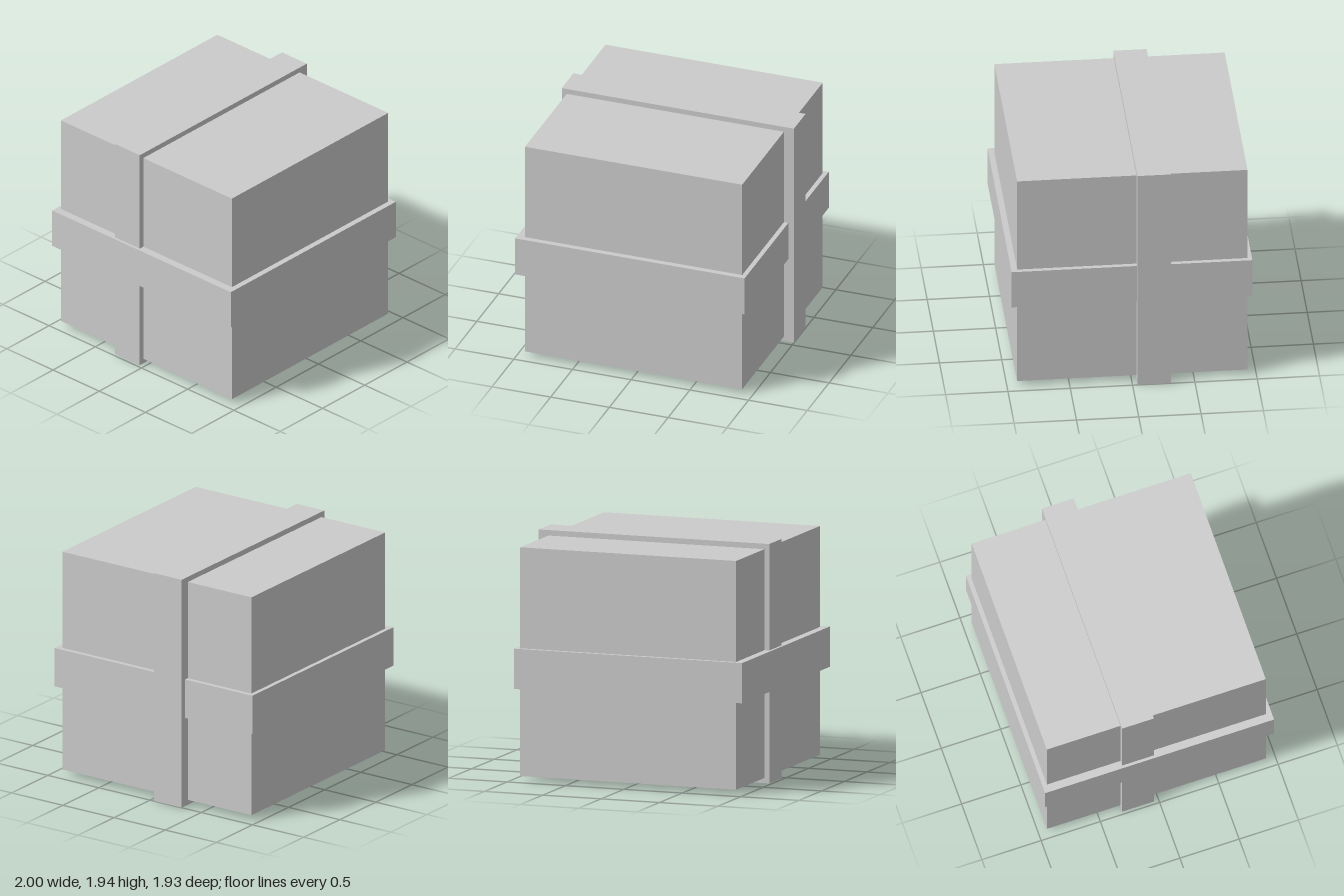
import * as THREE from 'three';

const material = new THREE.MeshStandardMaterial({ color: 0xcccccc, flatShading: true });

// Box spanning two opposite corners
function block(name, min, max) {
  const [w, h, d] = max.map((v, i) => v - min[i]);
  const mesh = new THREE.Mesh(new THREE.BoxGeometry(w, h, d), material);
  mesh.position.set(...max.map((v, i) => (v + min[i]) / 2));
  mesh.name = name;
  return mesh;
}

export function createModel() {
  const model = new THREE.Group();
  model.name = 'strappedBox';
  model.add(
    // Main crate
    block('box', [-0.935, 0.042, -0.93], [0.915, 1.893, 0.918]),
    // Strap running level around the four sides
    block('horizontalBand', [-1, 0.75, -0.966], [0.953, 1.076, 0.966]),
    // Strap running over the top, sides and bottom, set back from the middle
    block('verticalBand', [-0.977, 0, -0.308], [1, 1.937, -0.04]),
  );
  return model;
}
